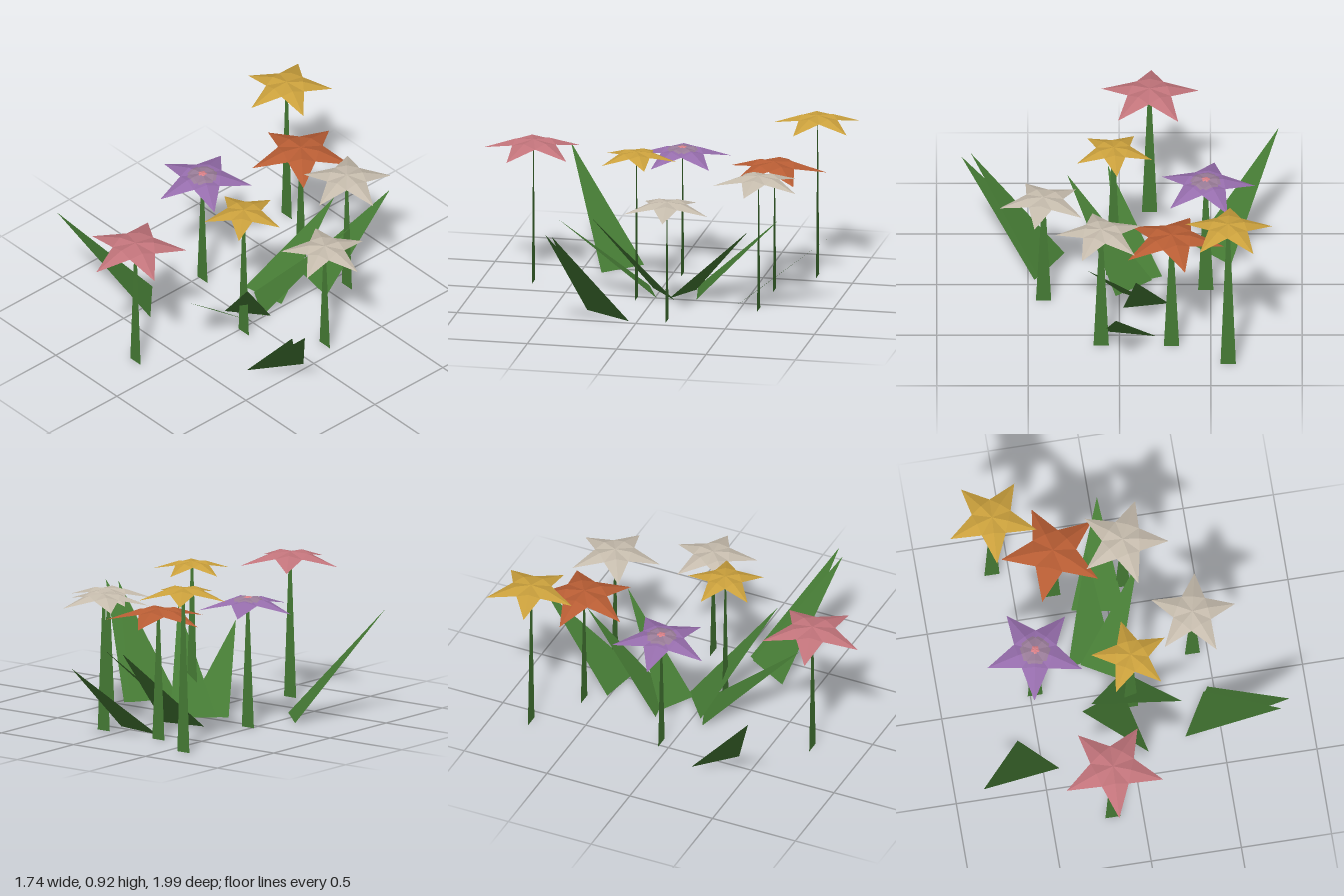
import * as THREE from 'three';

const mat = (name, color) => {
  const m = new THREE.MeshStandardMaterial({ color, side: THREE.DoubleSide, flatShading: true });
  m.name = name;
  return m;
};

// Flat-shaded mesh from a list of triangles, each three [x, y, z] corners
function facets(name, triangles, material) {
  const g = new THREE.BufferGeometry();
  g.setAttribute('position', new THREE.Float32BufferAttribute(triangles.flat(2), 3));
  g.computeVertexNormals();
  const mesh = new THREE.Mesh(g, material);
  mesh.name = name;
  return mesh;
}

// Five-pointed bloom: nearly flat heart, drooping petals with a raised midrib
function star(name, radius, degrees, material) {
  const at = (r, a, y) => [r * Math.cos(a), y, r * Math.sin(a)];
  const step = Math.PI / 5, tris = [], centre = [0, 0, 0], k = radius / 0.26;
  for (let i = 0; i < 5; i++) {
    const a = THREE.MathUtils.degToRad(degrees) + i * 2 * step;
    const tip = at(radius, a, -0.062 * k);
    const rib = at(radius * 0.36, a, -0.004 * k);
    const before = at(radius * 0.45, a - step, -0.022 * k);
    const after = at(radius * 0.45, a + step, -0.022 * k);
    tris.push([centre, rib, before], [rib, tip, before], [centre, after, rib], [rib, after, tip]);
  }
  return facets(name, tris, material);
}

// Triangular blade: two ground corners [x, z] and a raised tip [x, y, z]
function leaf(a, b, tip, material) {
  const p = [a[0], 0, a[1]], q = [b[0], 0, b[1]];
  const up = (q[1 - 1] - p[0]) * (tip[2] - p[2]) - (q[2] - p[2]) * (tip[0] - p[0]) < 0;
  return facets('leaf', [up ? [p, q, tip] : [q, p, tip]], material);
}

export function createModel() {
  const model = new THREE.Group();
  model.name = 'flowerPatch';

  const green = mat('leafGreen', 0x457a34);
  const gold = mat('petalGold', 0xcaa03c);
  const orange = mat('petalOrange', 0xb85d34);
  const white = mat('petalWhite', 0xc6bcad);
  const pink = mat('petalPink', 0xc2747b);
  const purple = mat('petalPurple', 0x966dac);
  const mauve = mat('innerMauve', 0x997c98);
  const rose = mat('heartRose', 0xd98088);

  // Flowers: x, bloom height, z, radius, rotation, colour
  const flowers = [
    [-0.595, 0.92, -0.785, 0.25, 92.5, gold],
    [-0.285, 0.735, -0.61, 0.285, 255, orange],
    [0.10, 0.765, -0.603, 0.252, 295, white],
    [-0.473, 0.725, -0.055, 0.272, 244, purple],
    [0.415, 0.68, -0.157, 0.242, 282, white],
    [0.032, 0.84, 0.095, 0.218, 265, gold],
    [-0.166, 0.815, 0.714, 0.28, 236, pink],
  ];
  for (const [x, y, z, r, turn, material] of flowers) {
    const flower = new THREE.Group();
    flower.name = 'flower';
    flower.position.set(x, 0, z);
    const w = 0.042, t = 0.008, h = y - 0.012;
    flower.add(facets('stem', [
      [[-w, 0, 0], [w, 0, 0], [t, h, 0]],
      [[-w, 0, 0], [t, h, 0], [-t, h, 0]],
    ], green));
    const bloom = star('bloom', r, turn, material);
    bloom.position.y = y;
    flower.add(bloom);
    if (material === purple) {
      // Painted inner star and heart
      const inner = star('innerStar', r * 0.62, turn, mauve);
      inner.position.y = y + 0.005;
      const heart = star('heart', r * 0.14, turn, rose);
      heart.position.y = y + 0.008;
      flower.add(inner, heart);
    }
    model.add(flower);
  }

  // Leaves: two base corners and the tip
  const leaves = [
    [[-0.61, 0.19], [-0.41, 0.385], [-0.873, 0.595, 0.655]],
    [[0.30, 0.314], [0.465, 0.045], [0.865, 0.58, 0.394]],
    [[0.30, 0.314], [0.44, 0.07], [0.812, 0.57, 0.44]],
    [[-0.18, 0.045], [0.02, -0.115], [0.285, 0.525, 0.295]],
    [[-0.234, 0.08], [0.0, -0.01], [0.063, 0.435, 0.525]],
    [[-0.20, -0.51], [0.09, -0.46], [0.02, 0.42, -0.99]],
    [[-0.27, -0.185], [-0.02, -0.23], [-0.09, 0.465, -0.68]],
    [[-0.20, -0.19], [-0.01, -0.08], [0.175, 0.465, -0.56]],
  ];
  for (const [a, b, tip] of leaves) model.add(leaf(a, b, tip, green));

  return model;
}
